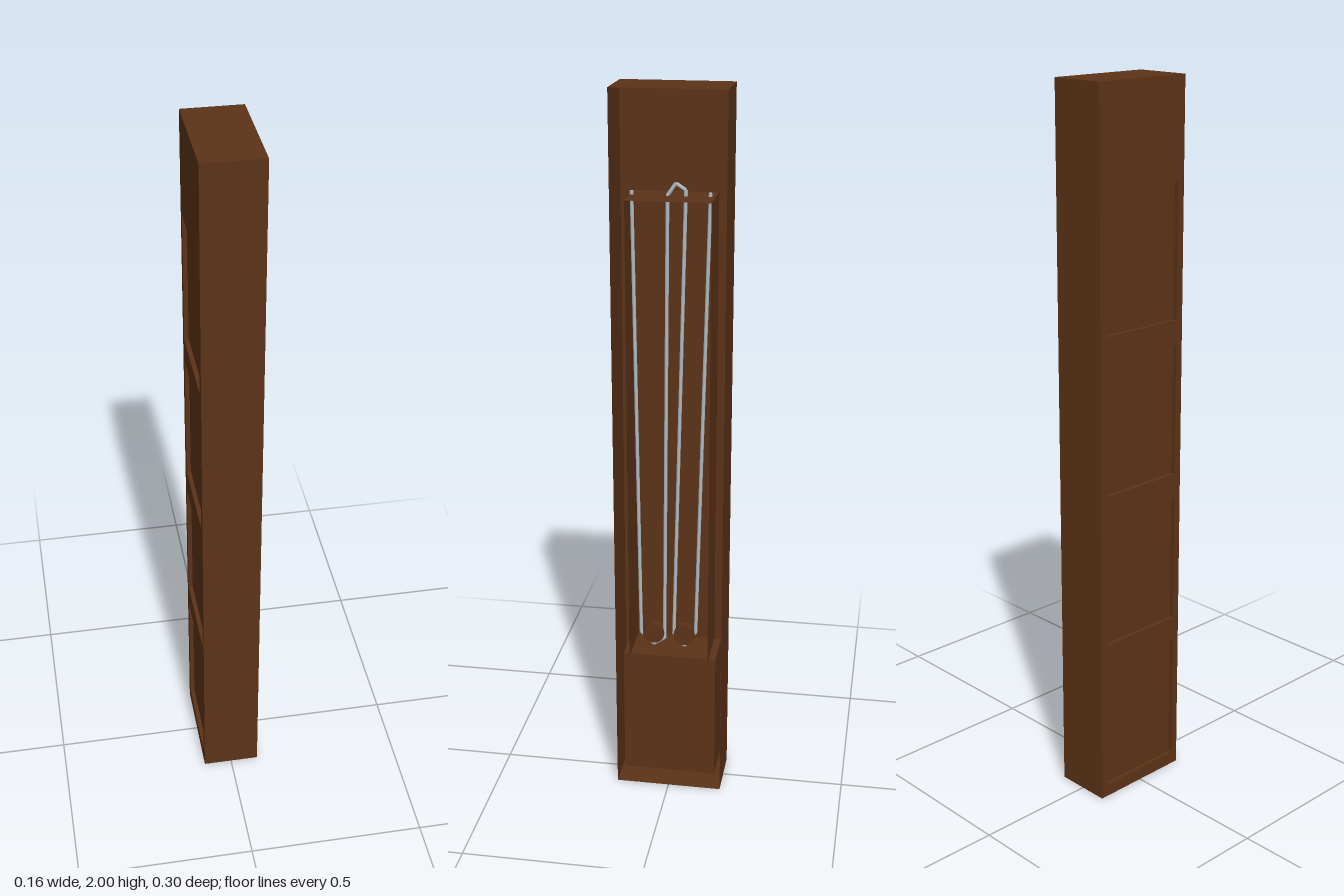
import * as THREE from 'three';

const wood = new THREE.MeshStandardMaterial({ color: 0x5c3317, side: THREE.DoubleSide });
const cord = new THREE.MeshStandardMaterial({ color: 0xb0bec5 });

export function createModel() {
  const model = new THREE.Group();

  const add = (name, geometry, material, x = 0, y = 0, z = 0) => {
    const mesh = new THREE.Mesh(geometry, material);
    mesh.name = name;
    mesh.position.set(x, y, z);
    model.add(mesh);
    return mesh;
  };

  // Thin-walled box without the chosen sides (0 = +x, 1 = -x, 2 = top, 3 = bottom)
  const openBox = (w, h, d, missing) => {
    const g = new THREE.BoxGeometry(w, h, d);
    const index = Array.from(g.index.array);
    g.setIndex(index.filter((_, i) => !missing.includes(Math.floor(i / 6))));
    g.clearGroups();
    return g;
  };

  // Tall case, open on the +x side
  add('case', openBox(0.162, 2, 0.302, [0, 1]), wood, 0, 1, 0);

  // Back wall with four sunken panels
  const wall = new THREE.Shape([[-0.15, 0], [0.15, 0], [0.15, 2], [-0.15, 2]].map(p => new THREE.Vector2(...p)));
  for (let i = 0; i < 4; i++) {
    const y0 = 0.037 + i * 0.44, y1 = y0 + 0.37;
    wall.holes.push(new THREE.Path([[-0.13, y0], [-0.13, y1], [0.13, y1], [0.13, y0]].map(p => new THREE.Vector2(...p))));
  }
  const backFrame = add('backFrame', new THREE.ExtrudeGeometry(wall, { depth: 0.012, bevelEnabled: false }), wood, -0.081);
  backFrame.rotation.y = Math.PI / 2;
  add('backPanel', new THREE.BoxGeometry(0.004, 2, 0.3), wood, -0.067, 1, 0);

  // Raised block in the foot and the open inner compartment above it
  add('lowerBlock', new THREE.BoxGeometry(0.125, 0.375, 0.264), wood, 0, 0.2275, 0);
  add('innerCompartment', openBox(0.142, 1.305, 0.224, [0, 3]), wood, 0.01, 1.0675, 0);

  // Pulleys with hubs, turning about the x axis
  for (const z of [0.055, -0.034]) {
    add('pulley', new THREE.CylinderGeometry(0.031, 0.031, 0.02, 16).rotateZ(Math.PI / 2), wood, 0, 0.457, z);
    add('pulleyHub', new THREE.CylinderGeometry(0.014, 0.014, 0.028, 12).rotateZ(Math.PI / 2), wood, 0, 0.457, z);
  }

  // Cord running over the shelf and under both pulleys, as [z, y]
  const path = [
    [0.108, 1.73], [0.092, 0.455], [0.055, 0.419], [0.024, 0.44], [0.014, 1.72], [-0.008, 1.752],
    [-0.034, 1.735], [-0.003, 0.455], [-0.034, 0.42], [-0.066, 0.465], [-0.098, 1.73],
  ].map(([z, y]) => new THREE.Vector3(0, y, z));
  for (let i = 0; i < path.length - 1; i++) {
    const dir = path[i + 1].clone().sub(path[i]);
    const mid = path[i].clone().addScaledVector(dir, 0.5);
    const part = add('cord', new THREE.CylinderGeometry(0.005, 0.005, dir.length(), 8), cord, mid.x, mid.y, mid.z);
    part.quaternion.setFromUnitVectors(new THREE.Vector3(0, 1, 0), dir.normalize());
  }
  return model;
}
